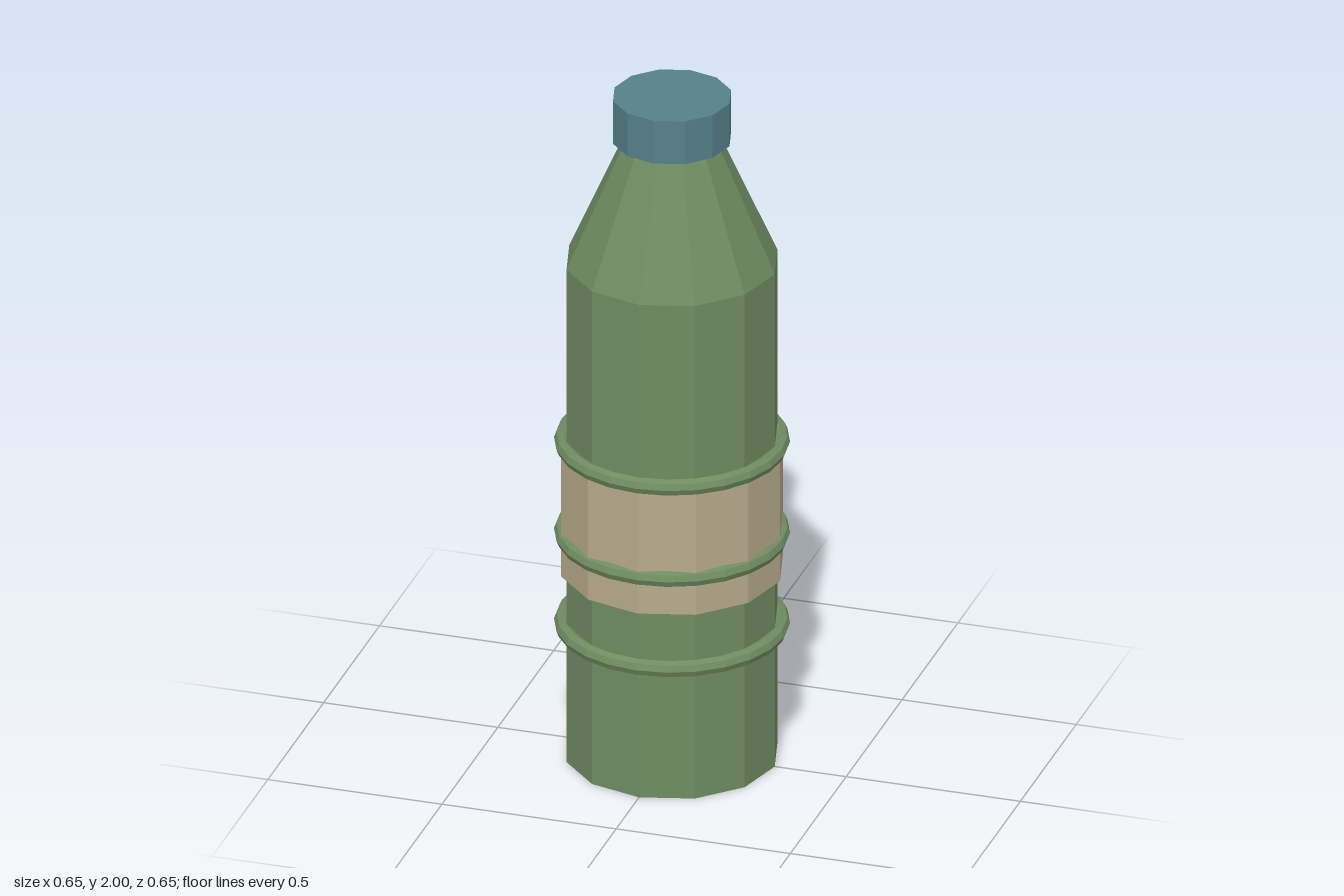
import * as THREE from 'three';

export function createModel() {
  const group = new THREE.Group();
  group.name = 'bottle';
  const mat = (color) => new THREE.MeshStandardMaterial({ color, flatShading: true });
  const green = mat(0x6f8c62), tan = mat(0xb8ab8c), blue = mat(0x56808a);

  // Twelve-sided section between two heights
  const section = (name, rTop, rBottom, y0, y1, material) => {
    const mesh = new THREE.Mesh(new THREE.CylinderGeometry(rTop, rBottom, y1 - y0, 12), material);
    mesh.position.y = (y0 + y1) / 2;
    mesh.name = name;
    group.add(mesh);
  };
  section('body', 0.295, 0.295, 0, 1.5, green);
  section('shoulder', 0.13, 0.295, 1.5, 1.875, green);
  section('label', 0.31, 0.31, 0.567, 0.945, tan);
  section('cap', 0.165, 0.165, 1.87, 2, blue);

  // Raised rings around the body
  [0.4, 0.675, 0.953].forEach((y, i) => {
    const ring = new THREE.Mesh(new THREE.TorusGeometry(0.299, 0.024, 8, 24), green);
    ring.rotation.x = Math.PI / 2;
    ring.position.y = y;
    ring.name = `ring${i + 1}`;
    group.add(ring);
  });
  return group;
}
